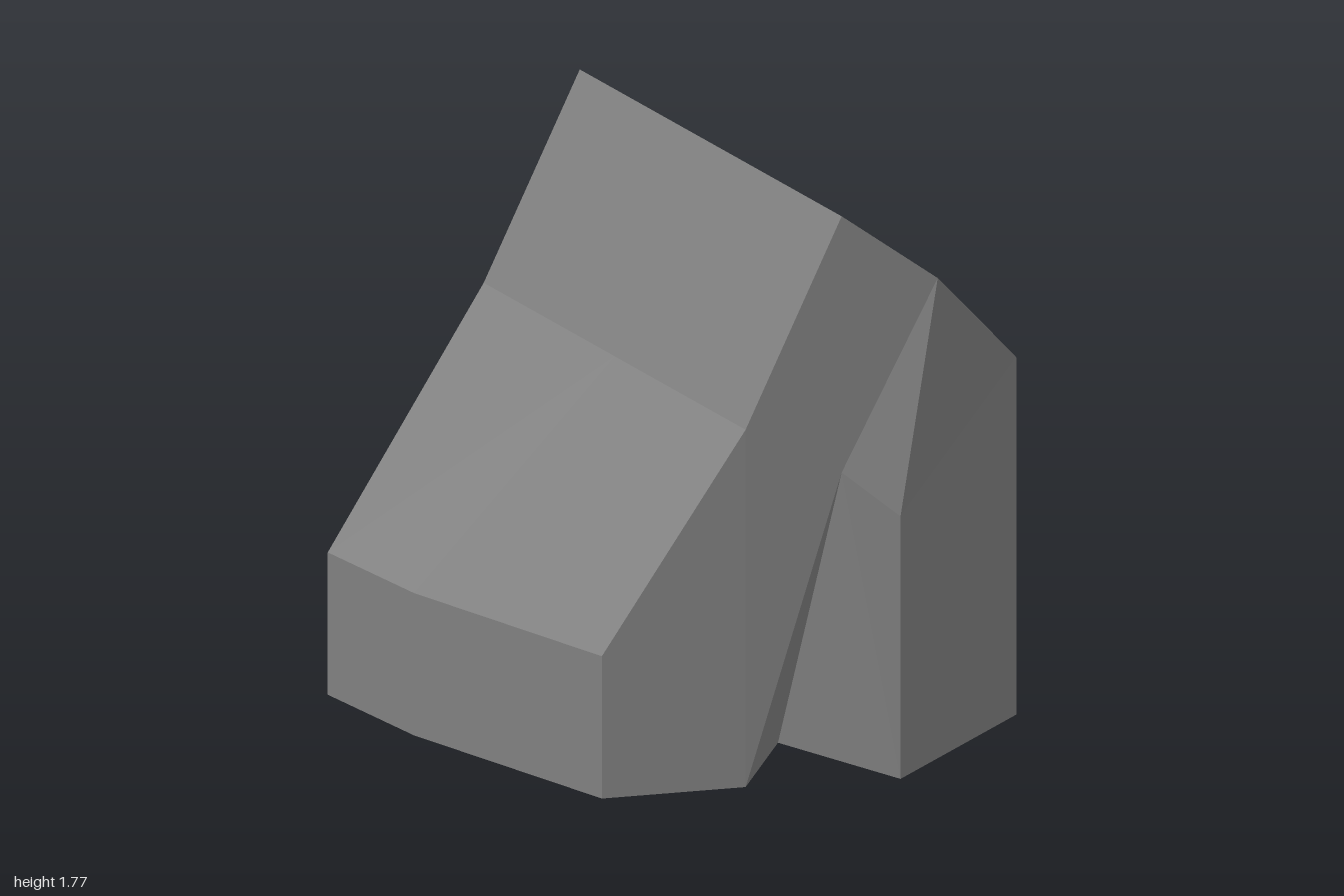
import * as THREE from 'three';

// Corners of the tent-like house: five cross lines (eave, fold, ridge, fold, eave)
const corners = {
  // low eave
  A: [-0.28, 0.45, 0.71], L: [-0.78, 0.45, 0.15], K: [-1, 0.45, -0.2],
  // fold of the low roof
  B: [0.15, 1.13, 0.66], N: [-0.175, 1.13, 0.035], J: [-0.5, 1.13, -0.59],
  // ridge
  C: [0.44, 1.77, 0.6], I: [-0.21, 1.77, -0.65],
  // fold of the high roof
  D: [0.73, 1.54, 0.54], M: [0.405, 1.54, -0.085], H: [0.08, 1.54, -0.71],
  // high eave
  E: [1, 1.13, 0.16], F: [0.91, 1.13, -0.2], G: [0.81, 1.13, -0.52],
  // entrance: left jamb, peak, right jamb and inner corner
  V: [0.15, 0.59, 0.66], T: [0.44, 0.96, 0.6], S: [0.61, 0.83, 0.64], Q: [0.28, 0, 0.315],
  // middle of the high front corner
  X: [1, 0.62, 0.16],
};

// Lower-case letters are the same corners dropped to the ground
function corner(letter) {
  if (corners[letter]) return corners[letter];
  const [x, , z] = corners[letter.toUpperCase()];
  return [x, 0, z];
}

// Each face is a word of corners, anticlockwise from outside, cut as a fan
function part(name, faces, material) {
  const positions = [];
  for (const face of faces) {
    const p = [...face].map(corner);
    for (let i = 1; i < p.length - 1; i++) positions.push(...p[0], ...p[i], ...p[i + 1]);
  }
  const geometry = new THREE.BufferGeometry();
  geometry.setAttribute('position', new THREE.Float32BufferAttribute(positions, 3));
  geometry.computeVertexNormals();
  const mesh = new THREE.Mesh(geometry, material);
  mesh.name = name;
  return mesh;
}

export function createModel() {
  const grey = new THREE.MeshStandardMaterial({ color: 0x808080 });
  grey.name = 'plainGrey';

  // Upright walls running round the back from the high eave to the low one
  const ring = 'EFGHIJKLA';
  const walls = [];
  for (let i = 0; i < ring.length - 1; i++) {
    const a = ring[i], b = ring[i + 1];
    walls.push(a.toLowerCase() + b.toLowerCase() + b + a);
  }

  const model = new THREE.Group();
  model.name = 'tentHouse';
  model.add(
    part('lowRoof', ['CIJNB', 'NJKL', 'BNLA'], grey),
    part('highRoof', ['CDMHI', 'DEFM', 'MFGH'], grey),
    part('backWalls', walls, grey),
    part('frontWall', ['avVBA', 'VTCB', 'TSDC'], grey),
    part('cornerWall', ['SXED', 'seXS'], grey),
    part('entranceNotch', ['vQTV', 'QsT', 'sST'], grey),
    part('floor', ['Qvalkjhgfes'], grey),
  );
  return model;
}
